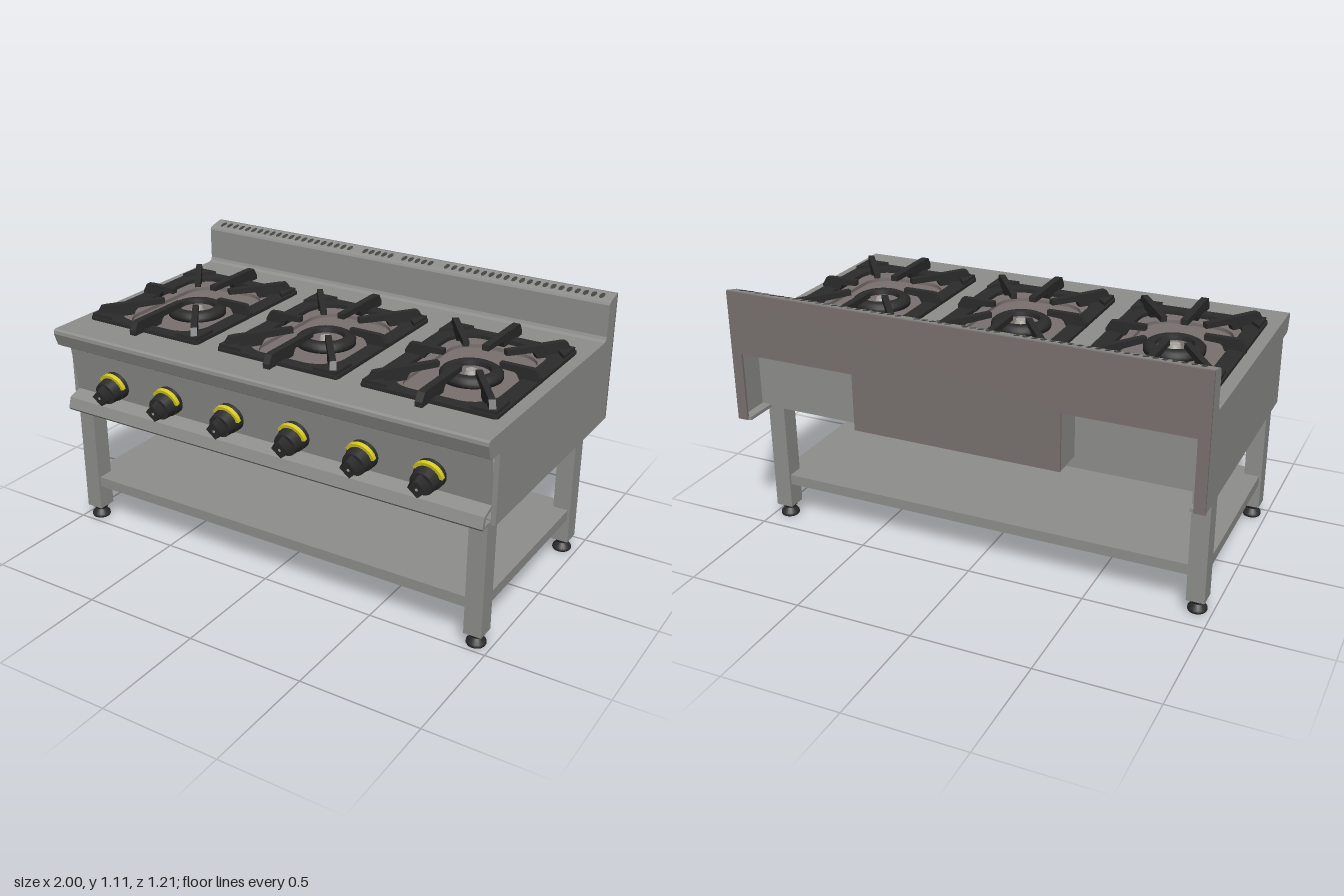
import * as THREE from 'three';

const mat = (name, color, side = THREE.FrontSide) => {
  const m = new THREE.MeshStandardMaterial({ color, side });
  m.name = name;
  return m;
};

export function createModel() {
  const root = new THREE.Group();
  root.name = 'sixKnobRange';
  const steel = mat('steel', 0x8e8e8c);
  const warm = mat('warmGreySteel', 0x797170);
  const black = mat('castIron', 0x2b2b2b);
  const dark = mat('ventDark', 0x444442, THREE.DoubleSide);
  const yellow = mat('yellow', 0xd8cc1c);
  const pale = mat('paleMetal', 0xa8a4a0);

  const add = (parent, name, geo, m, x = 0, y = 0, z = 0) => {
    const mesh = new THREE.Mesh(geo, m);
    mesh.name = name;
    mesh.position.set(x, y, z);
    parent.add(mesh);
    return mesh;
  };
  // box given by its limits
  const box = (name, m, x0, x1, y0, y1, z0, z1) =>
    add(root, name, new THREE.BoxGeometry(x1 - x0, y1 - y0, z1 - z0), m,
      (x0 + x1) / 2, (y0 + y1) / 2, (z0 + z1) / 2);
  const poly = pts => new THREE.Shape(pts.map(p => new THREE.Vector2(p[0], p[1])));
  const extrude = (shape, depth) =>
    new THREE.ExtrudeGeometry(shape, { depth, bevelEnabled: false, curveSegments: 10 });
  // (z, y) profile swept along x, centred
  const sweepX = (pts, width) =>
    extrude(poly(pts), width).translate(0, 0, -width / 2).rotateY(-Math.PI / 2);
  // plan shape (x, -z) made into a level slab
  const slab = (shape, height) => extrude(shape, height).rotateX(-Math.PI / 2);
  const roundRect = (hw, hd, r, cx = 0, cy = 0, Type = THREE.Shape) => {
    const s = new Type();
    s.moveTo(cx + hw, cy - hd + r);
    s.absarc(cx + hw - r, cy + hd - r, r, 0, Math.PI / 2);
    s.absarc(cx - hw + r, cy + hd - r, r, Math.PI / 2, Math.PI);
    s.absarc(cx - hw + r, cy - hd + r, r, Math.PI, Math.PI * 1.5);
    s.absarc(cx + hw - r, cy - hd + r, r, Math.PI * 1.5, Math.PI * 2);
    return s;
  };

  const burnerX = [-0.665, 0, 0.665], burnerZ = 0.03;

  // cabinet
  for (const s of [-1, 1]) {
    add(root, 'sidePanel', sweepX([[-0.595, 0.545], [0.475, 0.545], [0.475, 0.92], [-0.595, 0.92]], 0.02),
      steel, s * 0.99);
    box('rearFlange', steel, s > 0 ? 0.94 : -1, s > 0 ? 1 : -0.94, 0.545, 0.56, -0.6, -0.45);
  }
  const top = poly([[-1, -0.48], [1, -0.48], [1, 0.53], [-1, 0.53]]);
  for (const x of burnerX) top.holes.push(roundRect(0.265, 0.35, 0.05, x, -burnerZ, THREE.Path));
  add(root, 'worktop', slab(top, 0.03), steel, 0, 0.89);
  add(root, 'frontNose', sweepX([[0.47, 0.835], [0.54, 0.838], [0.553, 0.846], [0.572, 0.9],
    [0.57, 0.914], [0.56, 0.92], [0.47, 0.92]], 2), steel);
  add(root, 'controlPanel', sweepX([[0.49, 0.84], [0.455, 0.61], [0.515, 0.59], [0.525, 0.56],
    [0.455, 0.555], [0.455, 0.545], [0.535, 0.545], [0.543, 0.555], [0.53, 0.6], [0.472, 0.622],
    [0.505, 0.84]], 1.96), steel);
  box('cabinetFloor', steel, -0.98, 0.98, 0.552, 0.562, -0.45, 0.47);

  // backsplash with vents
  add(root, 'backsplash', sweepX([[-0.596, 0.9], [-0.5, 0.9], [-0.5, 0.92], [-0.515, 0.928], [-0.52, 0.94],
    [-0.52, 1.075], [-0.525, 1.085], [-0.535, 1.09], [-0.596, 1.105]], 2), steel);
  const vent = new THREE.CircleGeometry(0.011, 14).scale(1, 1.9, 1).rotateX(-Math.PI / 2 + 0.23);
  for (const [from, to] of [[0.035, 0.165], [0.245, 0.95]]) {
    const n = Math.round((to - from) / 0.035);
    for (let i = 0; i <= n; i++) for (const s of [-1, 1])
      add(root, 'vent', vent, dark, s * (from + (to - from) * i / n), 1.0975, -0.56);
  }

  // back sheet with two service cut-outs, and the recess behind them
  const back = poly([[-1, 0.545], [-0.955, 0.545], [-0.955, 0.84], [-0.44, 0.84], [-0.44, 0.6], [0.44, 0.6],
    [0.44, 0.84], [0.955, 0.84], [0.955, 0.545], [1, 0.545], [1, 1.104], [-1, 1.104]]);
  add(root, 'backSheet', extrude(back, 0.01), warm, 0, 0, -0.605);
  box('recessWall', steel, -0.98, 0.98, 0.552, 0.85, -0.46, -0.45);
  box('recessCeiling', steel, -0.98, 0.98, 0.84, 0.85, -0.596, -0.45);
  for (const s of [-1, 1]) box('recessSide', steel, s * 0.435 - 0.005, s * 0.435 + 0.005, 0.6, 0.84, -0.596, -0.46);

  // legs and feet
  const footGeo = new THREE.LatheGeometry([[0, 0], [0.037, 0], [0.04, 0.006], [0.039, 0.016], [0.024, 0.034],
    [0.024, 0.038], [0.034, 0.05], [0.034, 0.058], [0, 0.058]].map(p => new THREE.Vector2(...p)), 20);
  for (const x of [-0.9375, 0.9375]) for (const z of [0.445, -0.385]) {
    box('leg', steel, x - 0.0375, x + 0.0375, 0.056, 0.555, z - 0.04, z + 0.04);
    add(root, 'foot', footGeo, black, x, 0, z);
  }

  // lower shelf with folded rims
  box('shelf', steel, -0.9, 0.9, 0.2, 0.21, -0.41, 0.47);
  box('shelfFrontRim', steel, -0.9, 0.9, 0.165, 0.21, 0.455, 0.475);
  box('shelfRearRim', steel, -0.9, 0.9, 0.165, 0.21, -0.415, -0.395);
  for (const s of [-1, 1]) {
    box('shelfWing', steel, s * 0.925 - 0.04, s * 0.925 + 0.04, 0.2, 0.21, -0.345, 0.405);
    box('shelfSideRim', steel, s * 0.955 - 0.01, s * 0.955 + 0.01, 0.165, 0.21, -0.345, 0.405);
  }

  // pan support finger: raised cantilever on a foot
  const finger = (rIn, rOut, w) => {
    const foot = rOut - (rOut - rIn) * 0.56;
    return extrude(poly([[rIn, 0.957], [foot - 0.01, 0.953], [foot, 0.945], [foot + 0.01, 0.925], [rOut, 0.925],
      [rOut, 0.945], [rOut - 0.02, 0.978], [rOut - 0.04, 0.98], [rIn, 0.98]]), w).translate(0, 0, -w / 2);
  };
  const diag = Math.atan2(0.33, 0.24);
  const fingers = [[0, 0.12, 0.288, 0.024], [Math.PI, 0.12, 0.288, 0.024],
    [Math.PI / 2, 0.115, 0.43, 0.03], [-Math.PI / 2, 0.115, 0.43, 0.03]];
  for (const a of [diag, -diag, Math.PI - diag, Math.PI + diag]) fingers.push([a, 0.145, 0.435, 0.026]);

  // burner ring profile
  const ringGeo = new THREE.LatheGeometry([[0.075, 0.89], [0.125, 0.89], [0.125, 0.91], [0.115, 0.92], [0.1, 0.928],
    [0.082, 0.928], [0.075, 0.92], [0.075, 0.89]].map(p => new THREE.Vector2(...p)), 32);

  for (const x of burnerX) {
    const g = new THREE.Group();
    g.name = 'burner';
    g.position.set(x, 0, burnerZ);
    root.add(g);
    add(g, 'wellFloor', slab(roundRect(0.28, 0.365, 0.05), 0.008), warm, 0, 0.882);
    const rim = roundRect(0.264, 0.349, 0.05);
    rim.holes.push(roundRect(0.19, 0.29, 0.12, 0, 0, THREE.Path));
    add(g, 'wellStep', slab(rim, 0.015), warm, 0, 0.89);
    const frame = roundRect(0.283, 0.37, 0.015);
    frame.holes.push(roundRect(0.215, 0.315, 0.12, 0, 0, THREE.Path));
    add(g, 'grateFrame', slab(frame, 0.016), black, 0, 0.918);
    for (const [a, rIn, rOut, w] of fingers) add(g, 'grateFinger', finger(rIn, rOut, w), black).rotation.y = a;
    for (const sx of [-1, 1]) for (const sz of [-1, 1]) {
      const pts = [[sx * 0.275, sz * 0.362], [sx * 0.17, sz * 0.362], [sx * 0.275, sz * 0.25]];
      add(g, 'grateCorner', slab(poly(pts), 0.014), black, 0, 0.934);
    }
    add(g, 'burnerRing', ringGeo, black);
    add(g, 'burnerCup', new THREE.CylinderGeometry(0.076, 0.076, 0.015, 28), warm, 0, 0.8975);
    add(g, 'burnerHub', new THREE.CylinderGeometry(0.022, 0.028, 0.015, 20), pale, 0, 0.912);
  }

  // control knobs, tilted with the panel
  const cyl = (r1, r0, h, n) => new THREE.CylinderGeometry(r1, r0, h, n).rotateX(Math.PI / 2);
  const arc = new THREE.Shape();
  arc.absarc(0, 0, 0.066, 0.15, 2.6, false);
  arc.absarc(0, 0, 0.046, 2.6, 0.15, true);
  const arcGeo = extrude(arc, 0.018);
  for (const x of [-0.75, -0.465, -0.16, 0.15, 0.455, 0.74]) {
    const k = new THREE.Group();
    k.name = 'knob';
    k.position.set(x, 0.693, 0.482);
    k.rotation.x = 0.18;
    root.add(k);
    add(k, 'knobSkirt', cyl(0.058, 0.062, 0.035, 28), black, 0, 0, 0.0175);
    add(k, 'yellowArc', arcGeo, yellow, 0, 0, 0.021);
    add(k, 'knobBody', cyl(0.048, 0.054, 0.045, 28), black, 0, 0, 0.0575);
    add(k, 'knobGrip', cyl(0.038, 0.046, 0.038, 4), black, 0, 0, 0.097);
    add(k, 'knobMark', cyl(0.006, 0.006, 0.002, 12), pale, 0, 0, 0.1168);
  }
  return root;
}
